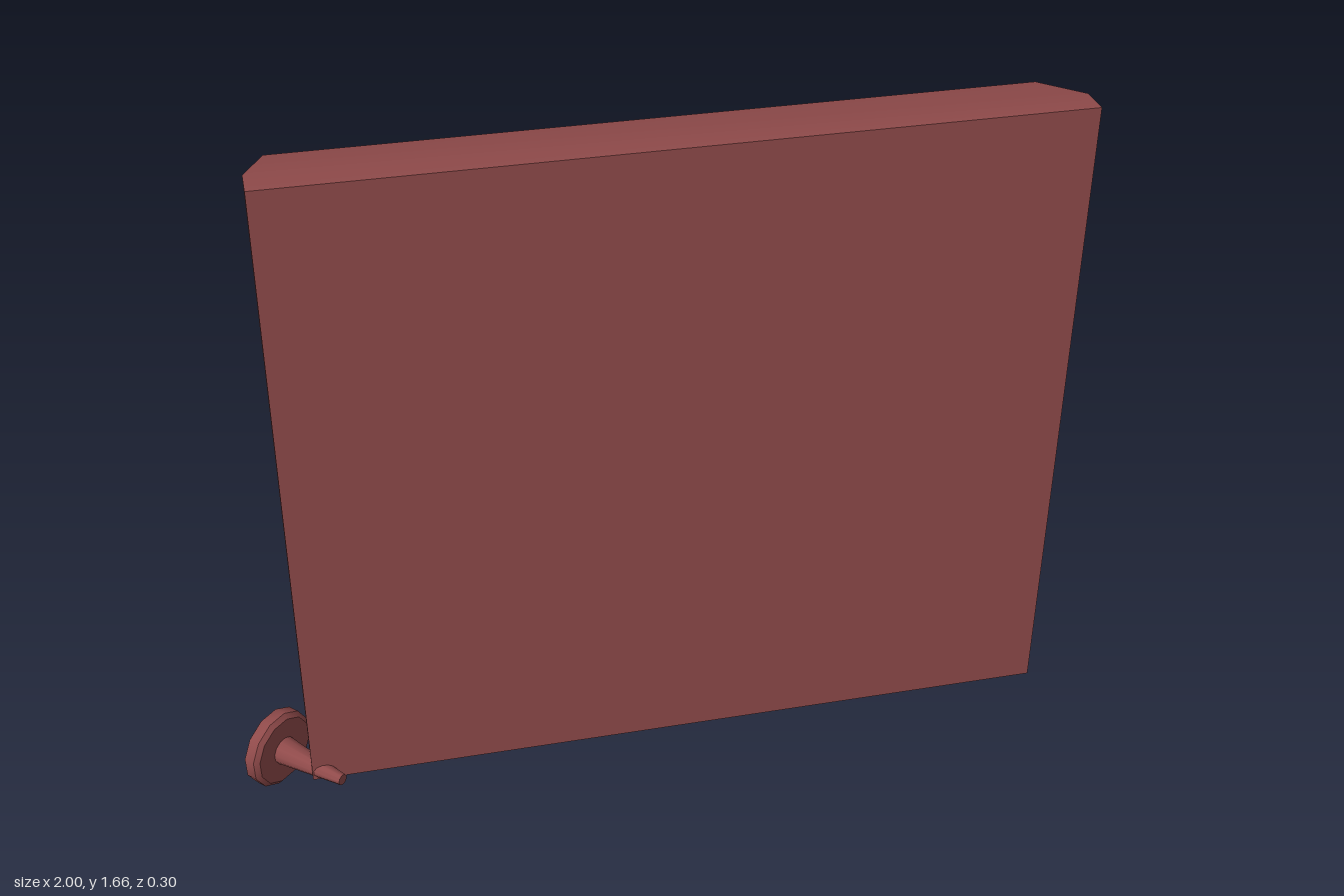
import * as THREE from 'three';
import { toCreasedNormals } from 'three/addons/utils/BufferGeometryUtils.js';

// Skins a row of rectangles [halfWidth, halfHeight, z], running front to back
function rectLoft(sections) {
  const corners = [[1, -1], [1, 1], [-1, 1], [-1, -1]];
  const pos = [];
  const at = (s, i) => [s[0] * corners[i % 4][0], s[1] * corners[i % 4][1], s[2]];
  for (let k = 0; k + 1 < sections.length; k++) {
    const a = sections[k], b = sections[k + 1];
    for (let i = 0; i < 4; i++) {
      if (b[0] > 0) pos.push(...at(a, i), ...at(b, i), ...at(b, i + 1));
      if (a[0] > 0) pos.push(...at(a, i), ...at(b, i + 1), ...at(a, i + 1));
    }
  }
  const g = new THREE.BufferGeometry();
  g.setAttribute('position', new THREE.Float32BufferAttribute(pos, 3));
  return toCreasedNormals(g, 0.5);
}

export function createModel() {
  const model = new THREE.Group();
  const material = new THREE.MeshStandardMaterial({ color: 0x8f4a4a });

  // Stretched panel: flat front, tapered rim, recessed back
  const panel = new THREE.Mesh(rectLoft([
    [0, 0, 0.095],
    [0.92, 0.793, 0.095],
    [0.92, 0.793, 0.02],
    [0.87, 0.75, -0.157],
    [0.735, 0.614, -0.157],
    [0.735, 0.614, 0.018],
    [0, 0, 0.018],
  ]), material);
  panel.name = 'panel';
  panel.position.set(0.08, 0.872, 0);
  model.add(panel);

  // Round-headed peg with a tapering shaft, set diagonally at the corner
  const profile = [
    [0, -0.027], [0.084, -0.027], [0.1, -0.016], [0.1, 0.012], [0.088, 0.022],
    [0.036, 0.022], [0.014, 0.21], [0, 0.21],
  ].map(([r, y]) => new THREE.Vector2(r, y));
  const peg = new THREE.Mesh(
    toCreasedNormals(new THREE.LatheGeometry(profile, 12), 0.6), material);
  peg.name = 'cornerPeg';
  peg.position.set(-0.914, 0.1, -0.02);
  peg.quaternion.setFromUnitVectors(
    new THREE.Vector3(0, 1, 0), new THREE.Vector3(0.68, 0, 0.73).normalize());
  model.add(peg);

  return model;
}
